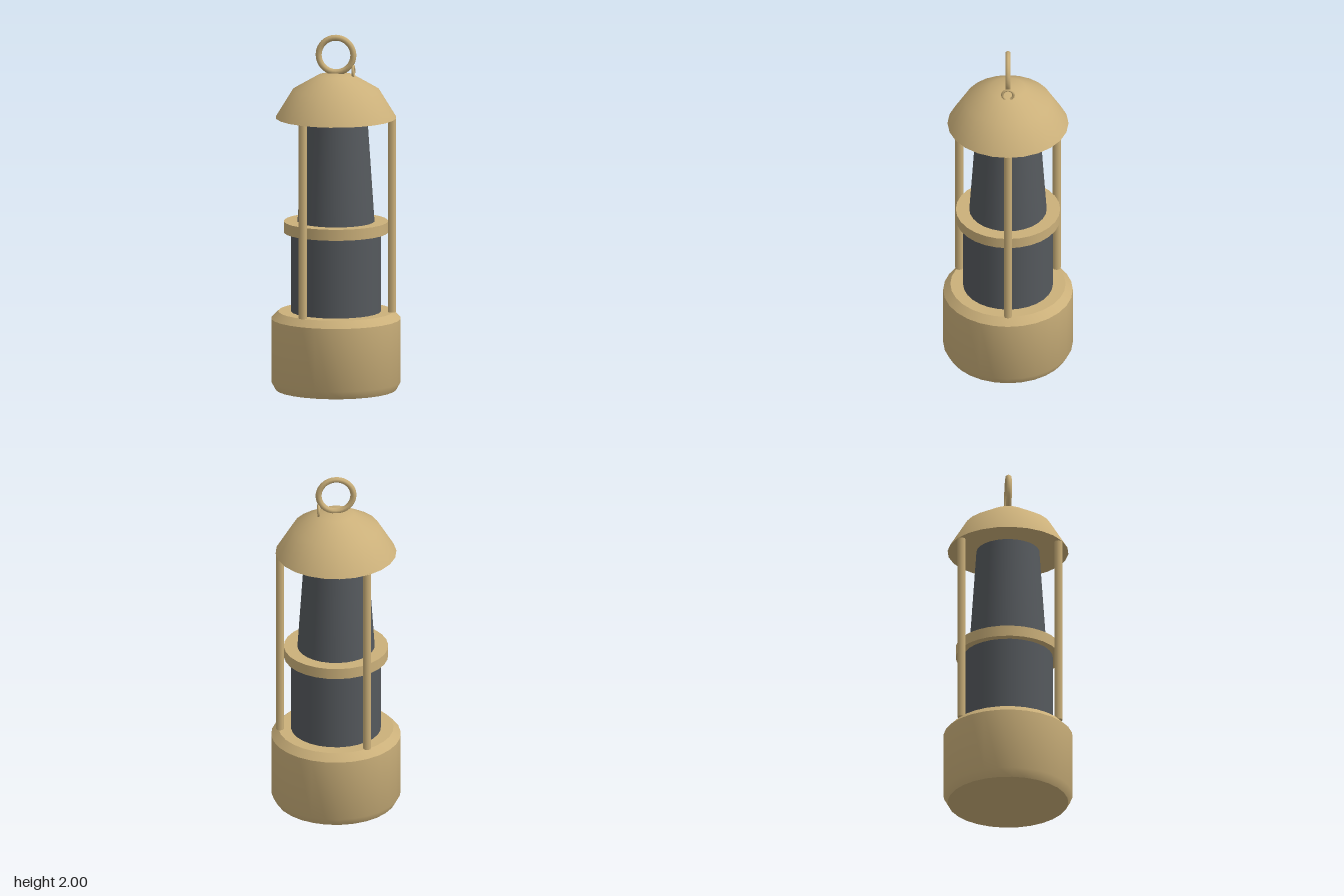
import * as THREE from 'three';
import { toCreasedNormals } from 'three/addons/utils/BufferGeometryUtils.js';

export function createModel() {
  const lantern = new THREE.Group();
  lantern.name = 'lantern';

  const brass = new THREE.MeshStandardMaterial({ color: 0xcbb07a });
  brass.name = 'brass';
  const smokedGlass = new THREE.MeshStandardMaterial({ color: 0x55595d });
  smokedGlass.name = 'smoked glass';

  const add = (name, geometry, material, x = 0, y = 0, z = 0) => {
    const mesh = new THREE.Mesh(geometry, material);
    mesh.name = name;
    mesh.position.set(x, y, z);
    lantern.add(mesh);
    return mesh;
  };

  // Profile runs from the bottom centre to the top centre
  const turned = (profile, sides) => toCreasedNormals(
    new THREE.LatheGeometry(profile.map(([r, y]) => new THREE.Vector2(r, y)), sides), 0.6);

  // Upright cylinder placed by its bottom and top heights
  const column = (name, rTop, rBottom, y0, y1, sides, material, x = 0, z = 0) =>
    add(name, new THREE.CylinderGeometry(rTop, rBottom, y1 - y0, sides),
      material, x, (y0 + y1) / 2, z);

  // Fuel base with bevelled rims
  add('base', turned([
    [0, 0], [0.335, 0.005], [0.36, 0.05], [0.36, 0.405], [0.32, 0.445], [0, 0.445],
  ], 28), brass);

  // Glass, collar and tapered chimney
  column('lowerGlass', 0.25, 0.25, 0.44, 0.895, 28, smokedGlass);
  column('collar', 0.29, 0.29, 0.89, 0.952, 28, brass);
  column('chimney', 0.175, 0.215, 0.95, 1.54, 28, smokedGlass);

  // Three guard rods
  for (let i = 0; i < 3; i++) {
    const a = (i * Math.PI * 2) / 3;
    column('guardRod', 0.023, 0.023, 0.445, 1.54, 8, brass,
      0.312 * Math.cos(a), 0.312 * Math.sin(a));
  }

  // Domed hood with a closed underside
  add('hood', turned([
    [0, 1.535], [0.336, 1.535], [0.24, 1.692], [0.1, 1.773], [0, 1.787],
  ], 24), brass);

  // Carrying ring and the small loop that holds it
  add('carryingRing', new THREE.TorusGeometry(0.097, 0.017, 6, 32), brass, 0, 1.887, 0);
  const loop = add('ringLoop', new THREE.TorusGeometry(0.031, 0.008, 6, 16), brass, 0.097, 1.795, 0);
  loop.rotation.y = Math.PI / 2;

  return lantern;
}
